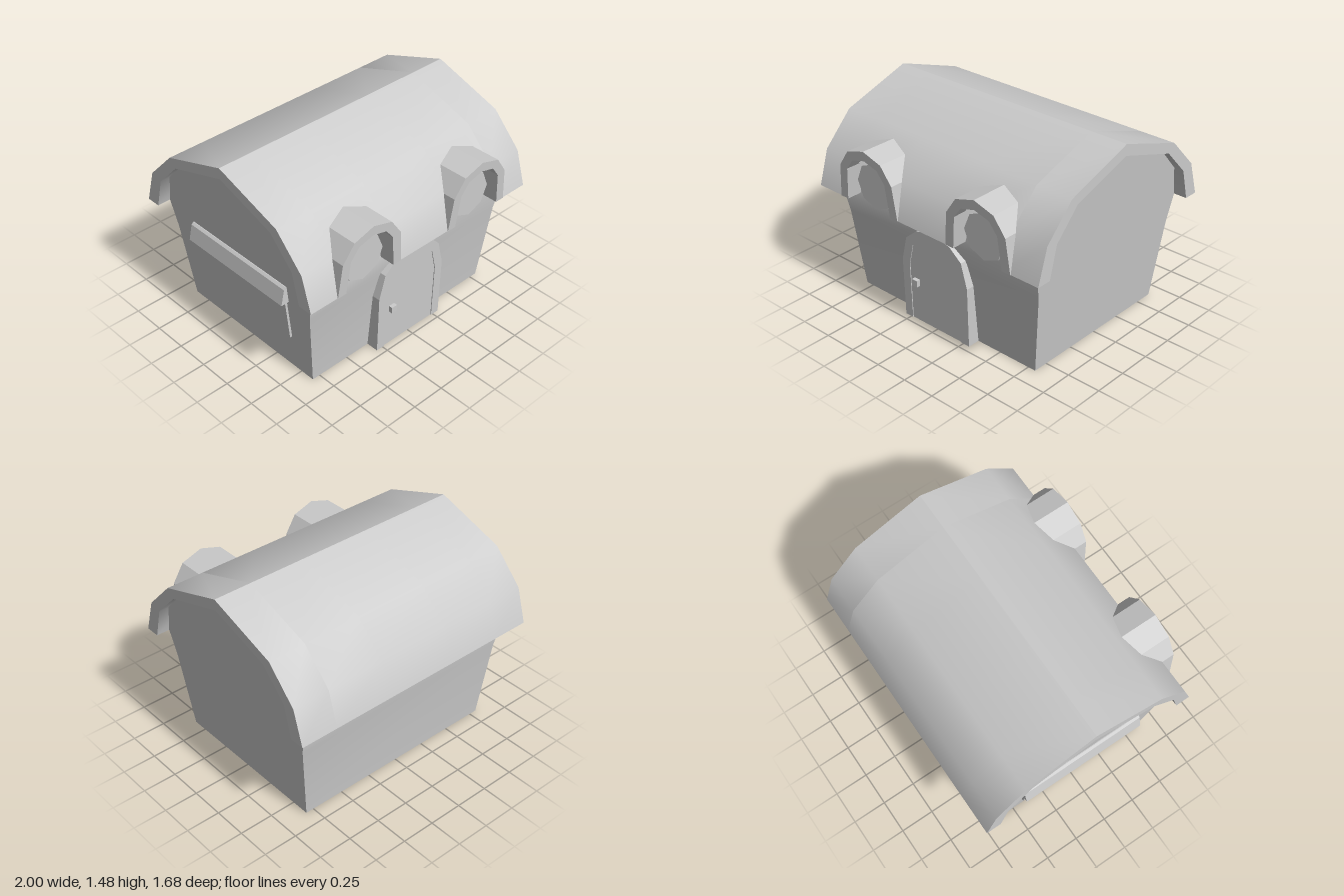
import * as THREE from 'three';
import { mergeGeometries, toCreasedNormals } from 'three/addons/utils/BufferGeometryUtils.js';

const CZ = -0.012; // ridge line position in z
const CREASE = 0.6;

const smooth = new THREE.MeshStandardMaterial({ color: 0xcccccc });
const flat = new THREE.MeshStandardMaterial({ color: 0xcccccc, flatShading: true });

const shapeOf = (pts) => new THREE.Shape(pts.map(([x, y]) => new THREE.Vector2(x, y)));

// Mirror a half outline [halfWidth, y], listed from bottom to apex
const mirrored = (half) => [
  ...half,
  ...half.slice(0, -1).reverse().map(([x, y]) => [-x, y]),
];

// Extrude an outline in (x, y) from z0 to z1
function alongZ(pts, z0, z1) {
  const g = new THREE.ExtrudeGeometry(shapeOf(pts), { depth: z1 - z0, bevelEnabled: false });
  return g.translate(0, 0, z0);
}

// Extrude an outline in (z, y) from x0 to x1
function alongX(pts, x0, x1) {
  const g = alongZ(pts.map(([z, y]) => [-z, y]), x0, x1);
  return g.rotateY(Math.PI / 2);
}

// Move each vertex by a rule
function warp(g, rule) {
  const p = g.attributes.position;
  const v = new THREE.Vector3();
  for (let i = 0; i < p.count; i++) {
    rule(v.fromBufferAttribute(p, i));
    p.setXYZ(i, v.x, v.y, v.z);
  }
  g.computeVertexNormals();
  return g;
}

function add(parent, name, geometry, material = flat) {
  const mesh = new THREE.Mesh(geometry, material);
  mesh.name = name;
  parent.add(mesh);
  return mesh;
}

export function createModel() {
  const house = new THREE.Group();
  house.name = 'house';

  // Walls: gabled block that widens upward
  const upperWall = [[0.72, 0.813], [0.66, 1.043], [0.47, 1.241], [0, 1.395]];
  const wallHalf = [[0.622, 0], [0.677, 0.6], ...upperWall];
  const wallX = (y) => 0.81 + 0.111 * y;
  const walls = alongX(mirrored(wallHalf).map(([z, y]) => [z + CZ, y]), -1, 1);
  warp(walls, (v) => { v.x *= wallX(v.y); });
  add(house, 'walls', toCreasedNormals(walls, CREASE), smooth);

  // Roof: curved shell, with the front eave left out at the dormers
  const outer = mirrored([[0.828, 0.813], [0.75, 1.067], [0.527, 1.298], [0, 1.477]]);
  const inner = mirrored(upperWall);
  const shell = (skip) => [...outer.slice(skip), ...inner.slice(skip).reverse()]
    .map(([z, y]) => [z + CZ, y]);
  const cuts = [-1, -0.72, -0.28, 0.28, 0.72, 1];
  const spans = cuts.slice(1).map((x, i) => alongX(shell(i % 2), cuts[i], x));
  add(house, 'roof', toCreasedNormals(mergeGeometries(spans), CREASE), smooth);

  // Dormers: arched hoods with octagonal windows
  const hoodOuter = mirrored([[0.278, 0.813], [0.25, 1.065], [0.16, 1.193], [0, 1.243]]);
  const hoodInner = mirrored([[0.208, 0.813], [0.182, 1.055], [0.118, 1.14], [0, 1.172]]);
  for (const x of [-0.5, 0.5]) {
    const dormer = new THREE.Group();
    dormer.name = x < 0 ? 'rightDormer' : 'leftDormer';
    dormer.position.x = x;
    const hood = alongZ([...hoodOuter, ...hoodInner.slice().reverse()], 0.5, 0.82);
    warp(hood, (v) => { if (v.z > 0.6) v.z += (v.y - 0.813) * 0.055; });
    add(dormer, 'dormerHood', hood);
    const pane = new THREE.CylinderGeometry(0.17, 0.17, 0.16, 8).rotateX(Math.PI / 2);
    add(dormer, 'dormerWindow', pane).position.set(0, 0.948, 0.677);
    house.add(dormer);
  }

  // Door: arched frame, panel set just behind it, square knob
  const frameOuter = mirrored([[0.303, 0], [0.303, 0.455], [0.255, 0.638], [0.155, 0.722], [0, 0.76]]);
  const frameInner = mirrored([[0.235, 0], [0.235, 0.44], [0.195, 0.6], [0.11, 0.663], [0, 0.688]]);
  const lean = (g) => warp(g, (v) => { if (v.z > 0.6) v.z += v.y * 0.022; });
  const door = new THREE.Group();
  door.name = 'door';
  add(door, 'doorFrame', lean(alongZ([...frameOuter, ...frameInner.slice().reverse()], 0.55, 0.703)));
  add(door, 'doorPanel', lean(alongZ(frameInner, 0.55, 0.697)));
  add(door, 'doorKnob', new THREE.BoxGeometry(0.048, 0.048, 0.035)).position.set(-0.175, 0.315, 0.716);
  house.add(door);

  // Side window: leaning panel under a wedge awning
  const sideWindow = new THREE.Group();
  sideWindow.name = 'sideWindow';
  const panel = [[-0.80, 0.3], [-0.861, 0.3], [-0.908, 0.73], [-0.85, 0.73]];
  add(sideWindow, 'sideWindowPanel', alongZ(panel, -0.45, 0.45));
  const awning = [[-0.86, 0.63], [-0.942, 0.63], [-0.916, 0.745], [-0.9, 0.76], [-0.87, 0.76]];
  add(sideWindow, 'sideAwning', alongZ(awning, -0.48, 0.47));
  house.add(sideWindow);

  return house;
}
